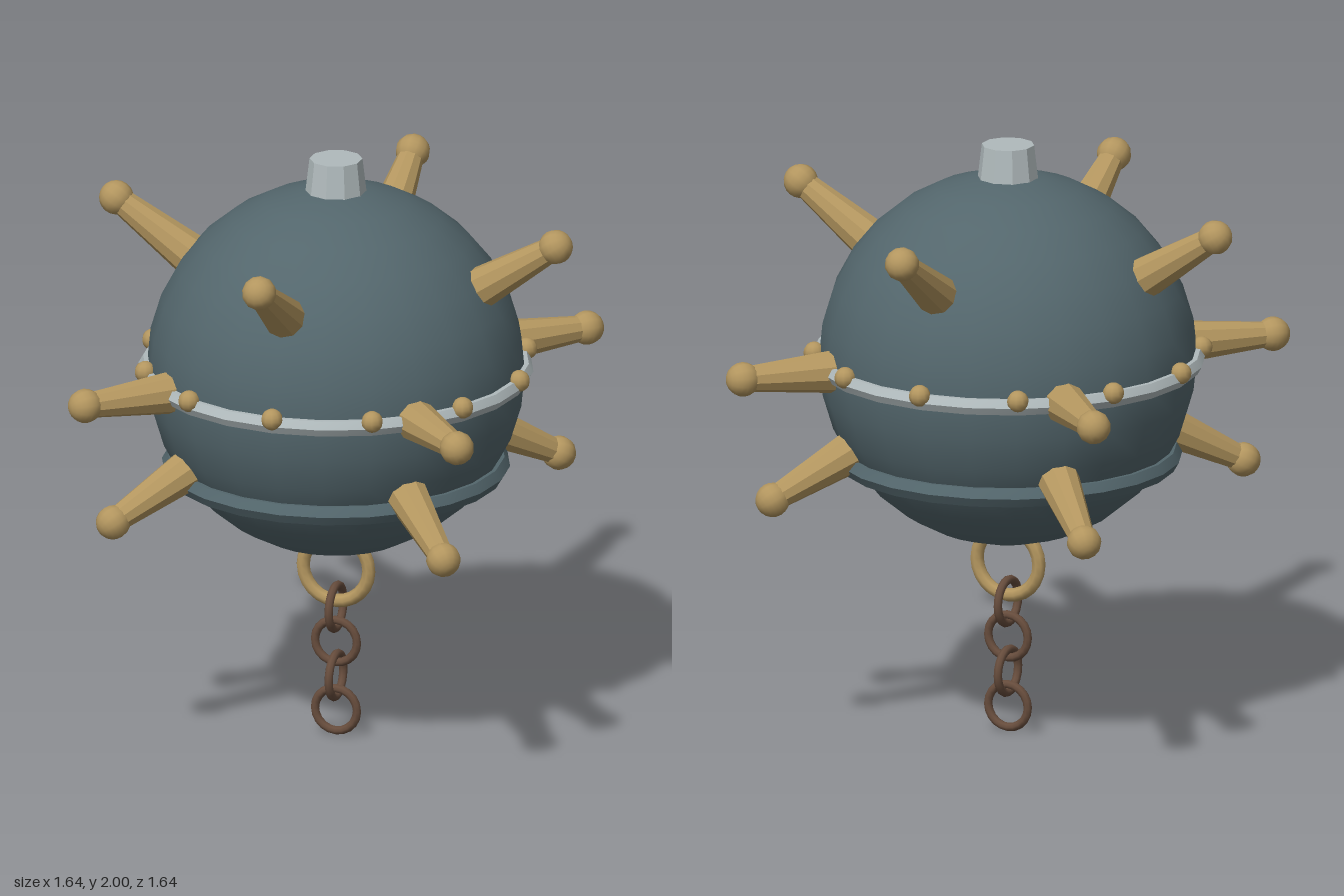
import * as THREE from 'three';
import { toCreasedNormals } from 'three/addons/utils/BufferGeometryUtils.js';

const material = (name, color) => {
  const m = new THREE.MeshStandardMaterial({ color });
  m.name = name;
  return m;
};

export function createModel() {
  const model = new THREE.Group();
  model.name = 'navalMine';
  const hullPaint = material('slate hull', 0x53666c);
  const brass = material('brass', 0xb3965f);
  const steel = material('pale steel', 0xb0babc);
  const rust = material('rusty brown', 0x664c3c);

  const CENTER = 1.277, R = 0.622;
  const add = (name, geometry, mat, x = 0, y = 0, z = 0, parent = model) => {
    const mesh = new THREE.Mesh(geometry, mat);
    mesh.name = name;
    mesh.position.set(x, y, z);
    parent.add(mesh);
    return mesh;
  };
  const crisp = (geometry) => toCreasedNormals(geometry, 0.55);

  // Hull and top plug
  add('hull', new THREE.SphereGeometry(R, 24, 16), hullPaint, 0, CENTER);
  add('topPlug', crisp(new THREE.CylinderGeometry(0.087, 0.106, 0.16, 10)), steel, 0, 1.92);

  // Six-sided bands around the hull
  const band = (name, radius, tube, y, mat) => {
    add(name, crisp(new THREE.TorusGeometry(radius, tube, 6, 24)), mat, 0, y).rotation.x = Math.PI / 2;
  };
  band('equatorBand', 0.62, 0.03, CENTER, steel);
  band('lowerBand', 0.537, 0.036, 0.947, hullPaint);

  // Rivets on the equator band
  const rivet = new THREE.SphereGeometry(0.036, 10, 8);
  for (let i = 0; i < 12; i++) {
    const a = (i * Math.PI) / 6;
    add('rivet', rivet, brass, 0.637 * Math.cos(a), 1.3, 0.637 * Math.sin(a));
  }

  // Spikes: a tapered horn with a ball tip, pointing out from the hull centre
  const horn = crisp(new THREE.CylinderGeometry(0.042, 0.075, 0.34, 10));
  const tip = new THREE.SphereGeometry(0.057, 12, 10);
  const up = new THREE.Vector3(0, 1, 0);
  const rows = [[33.3, 0], [0, 45], [-27.3, 45]]; // elevation, first azimuth
  for (const [elevation, start] of rows) {
    for (let i = 0; i < 4; i++) {
      const e = THREE.MathUtils.degToRad(elevation);
      const a = THREE.MathUtils.degToRad(start + i * 90);
      const spike = new THREE.Group();
      spike.name = 'spike';
      spike.position.y = CENTER;
      spike.quaternion.setFromUnitVectors(up, new THREE.Vector3(
        Math.cos(e) * Math.cos(a), Math.sin(e), Math.cos(e) * Math.sin(a)));
      add('spikeHorn', horn, brass, 0, 0.73, 0, spike);
      add('spikeTip', tip, brass, 0, 0.914, 0, spike);
      model.add(spike);
    }
  }

  // Mooring ring and hanging chain, alternate links turned a quarter
  add('mooringRing', new THREE.TorusGeometry(0.114, 0.023, 8, 24), brass, 0, 0.58);
  const link = new THREE.TorusGeometry(0.073, 0.0145, 8, 20);
  for (let i = 0; i < 4; i++) {
    add('chainLink', link, rust, 0, 0.444 - i * 0.1185).rotation.y = i % 2 ? 0 : Math.PI / 2;
  }
  return model;
}
